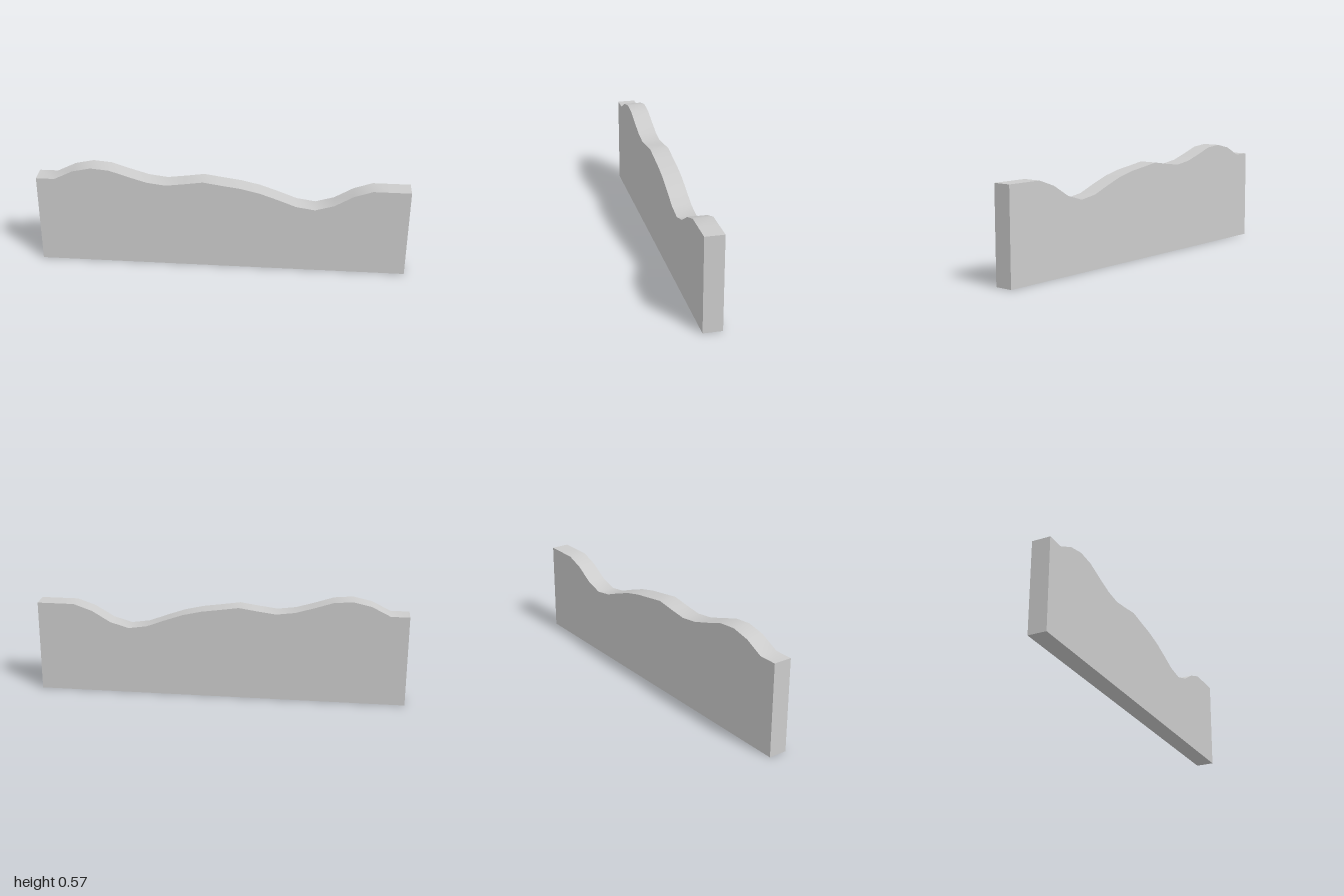
import * as THREE from 'three';
import { toCreasedNormals } from 'three/addons/utils/BufferGeometryUtils.js';

const DEPTH = 0.1;

// Heights of the wavy top edge, evenly spaced from x = -1 to x = 1
const HEIGHTS = [
  0.5, 0.5, 0.55, 0.572, 0.563, 0.53, 0.5, 0.487, 0.5, 0.515, 0.5,
  0.486, 0.463, 0.428, 0.39, 0.375, 0.405, 0.465, 0.5, 0.5, 0.5,
];

export function createModel() {
  const group = new THREE.Group();
  group.name = 'wavyWall';

  // Outline: flat base, upright ends, rolling top
  const shape = new THREE.Shape();
  shape.moveTo(-1, 0);
  shape.lineTo(1, 0);
  for (let i = HEIGHTS.length - 1; i >= 0; i--) {
    shape.lineTo(-1 + (2 * i) / (HEIGHTS.length - 1), HEIGHTS[i]);
  }
  shape.closePath();

  // Smooth top surface, sharp edges elsewhere
  const solid = new THREE.ExtrudeGeometry(shape, { depth: DEPTH, bevelEnabled: false });
  solid.translate(0, 0, -DEPTH / 2);
  const panel = new THREE.Mesh(
    toCreasedNormals(solid, 0.7),
    new THREE.MeshStandardMaterial({ color: 0xcccccc }),
  );
  panel.name = 'wallPanel';
  group.add(panel);

  return group;
}
